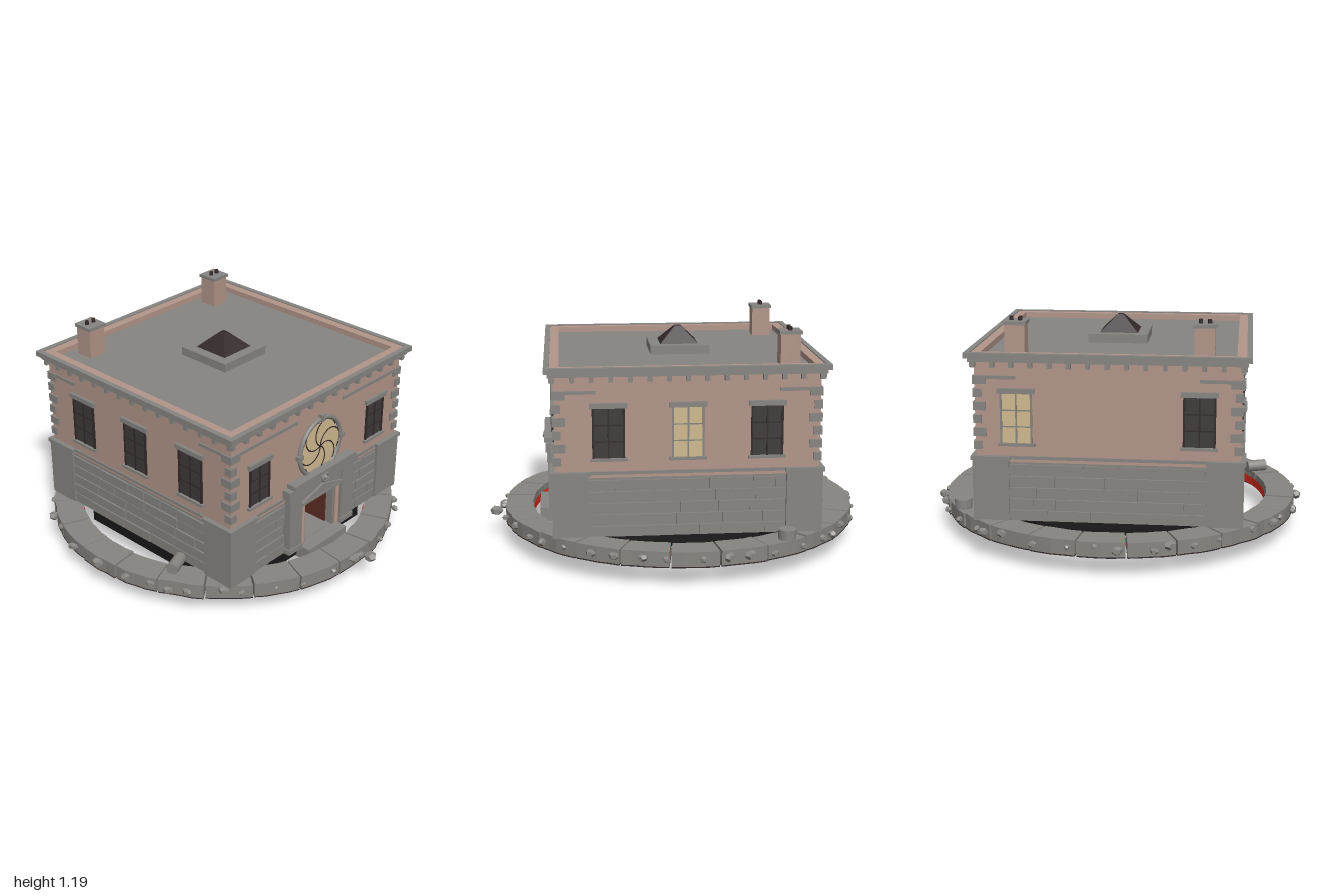
import * as THREE from 'three';

const mat = (name, color) => Object.assign(new THREE.MeshStandardMaterial({ color }), { name });

export function createModel() {
  const stone = mat('stone', 0x878580), brick = mat('brick', 0xb29589);
  const glass = mat('darkGlass', 0x3f3a3a), lit = mat('litGlass', 0xd0ba90);
  const iron = mat('darkIron', 0x33292a), glow = mat('redGlow', 0xf03020);
  const blue = mat('blueCrystal', 0x4f8ba6), black = mat('blackFloor', 0x191818);
  const oxide = mat('darkRedDoor', 0x5e2c26);

  let seed = 7;
  const rnd = (a = 0, b = 1) => {
    seed = (seed * 16807) % 2147483647;
    return a + (b - a) * (seed / 2147483647);
  };
  const add = (parent, name, geo, m, x = 0, y = 0, z = 0) => {
    const mesh = new THREE.Mesh(geo, m);
    mesh.name = name;
    mesh.position.set(x, y, z);
    parent.add(mesh);
    return mesh;
  };
  // box given by its limits
  const box = (p, name, m, x0, x1, y0, y1, z0, z1) =>
    add(p, name, new THREE.BoxGeometry(x1 - x0, y1 - y0, z1 - z0), m, (x0 + x1) / 2, (y0 + y1) / 2, (z0 + z1) / 2);
  const group = (parent, name) => {
    const g = new THREE.Group();
    g.name = name;
    parent.add(g);
    return g;
  };
  const flatExtrude = (shape, depth) =>
    new THREE.ExtrudeGeometry(shape, { depth, bevelEnabled: false, curveSegments: 24 }).rotateX(-Math.PI / 2);
  const square = (C, r) => new C([[-r, -r], [r, -r], [r, r], [-r, r]].map(([x, y]) => new THREE.Vector2(x, y)));
  // square frame running round the building
  const frame = (p, name, m, outer, inner, y0, y1) => {
    const s = square(THREE.Shape, outer);
    s.holes.push(square(THREE.Path, inner));
    return add(p, name, flatExtrude(s, y1 - y0), m, 0, y0, 0);
  };

  const model = new THREE.Group();
  model.name = 'house';
  const house = group(model, 'building');
  house.position.z = -0.01;

  // wall cores, leaving a doorway niche in the front
  const W = 0.655;
  box(house, 'upperWalls', brick, -W, W, 0.475, 0.99, -W, W);
  for (const s of [-1, 1]) box(house, 'lowerWall', stone, s < 0 ? -W : 0.115, s < 0 ? -0.115 : W, 0.172, 0.475, -W, W);
  box(house, 'lowerWallBack', stone, -0.115, 0.115, 0.172, 0.475, -W, 0.3);

  // roof, cornice and parapet
  box(house, 'roof', stone, -0.63, 0.63, 0.985, 0.995, -0.63, 0.63);
  frame(house, 'parapet', brick, 0.675, 0.625, 0.99, 1.025);
  frame(house, 'corniceTop', stone, 0.7, 0.672, 1.003, 1.03);
  frame(house, 'corniceMoulding', stone, 0.682, 0.65, 0.983, 1.004);
  frame(house, 'stringCourse', stone, 0.662, 0.65, 0.492, 0.508);

  // window with frame, glazing bars, lintel and sill
  const windowAt = (p, x, y0, y1, w, isLit) => {
    const g = group(p, 'window'), h = w / 2, bar = isLit ? stone : iron;
    box(g, 'pane', isLit ? lit : glass, x - h, x + h, y0, y1, W, W + 0.004);
    for (const s of [-1, 1]) {
      const c = x + s * (h - 0.005);
      box(g, 'windowSide', bar, c - 0.005, c + 0.005, y0, y1, W, W + 0.009);
    }
    box(g, 'centreBar', bar, x - 0.004, x + 0.004, y0, y1, W, W + 0.008);
    for (const t of [0.33, 0.66]) {
      const y = y0 + (y1 - y0) * t;
      box(g, 'crossBar', bar, x - h, x + h, y - 0.003, y + 0.003, W, W + 0.007);
    }
    box(g, 'lintel', stone, x - h - 0.012, x + h + 0.012, y1, y1 + 0.026, W, W + 0.016);
    box(g, 'sill', stone, x - h - 0.012, x + h + 0.012, y0 - 0.014, y0, W, W + 0.018);
  };

  // the four sides, each with its local +z pointing outwards
  const layouts = [
    [[-0.455, 0], [0.455, 0]],
    [[-0.39, 0], [0, 1], [0.39, 0]],
    [[-0.45, 1], [0.45, 0]],
    [[-0.39, 0], [0, 0], [0.39, 0]],
  ];
  layouts.forEach((list, i) => {
    const side = group(house, ['frontWall', 'leftWall', 'backWall', 'rightWall'][i]);
    side.rotation.y = i * Math.PI / 2;
    for (const [x, on] of list) windowAt(side, x, 0.575, i ? 0.825 : 0.787, i ? 0.16 : 0.145, on);
    // dentils
    for (let k = -7; k <= 7; k++) box(side, 'dentil', stone, k * 0.094 - 0.011, k * 0.094 + 0.011, 0.955, 0.985, W, W + 0.022);
    // upper band, broken in the middle
    const inner = i ? 0.45 : 0.18;
    for (const s of [-1, 1]) {
      const c = s * (inner + W) / 2, h = (W - inner) / 2;
      box(side, 'upperBand', stone, c - h, c + h, 0.895, 0.912, W, W + 0.006);
    }
    // coursed masonry
    for (let r = 0; r < 5; r++) {
      const y = 0.175 + r * 0.059;
      for (let x = -0.49; x < 0.485;) {
        let e = Math.min(x + rnd(0.11, 0.25), 0.49);
        if (0.49 - e < 0.05) e = 0.49;
        const a = x;
        x = e;
        if (i === 0 && a < 0.25 && e > -0.25) {
          if (a < -0.26) e = -0.26; else if (e > 0.26) {
            box(side, 'stoneBlock', stone, 0.26, e - 0.006, y, y + 0.053, W - 0.01, W + rnd(0.006, 0.011));
            continue;
          } else continue;
        }
        box(side, 'stoneBlock', stone, a, e - 0.006, y, y + 0.053, W - 0.01, W + rnd(0.006, 0.011));
      }
    }
    // corner pier and quoins at the right-hand end of this side
    const piers = group(side, 'corner');
    box(piers, 'cornerPier', stone, 0.49, 0.672, 0.173, 0.49, 0.49, 0.672);
    box(piers, 'pierCap', stone, 0.482, 0.68, 0.488, 0.508, 0.482, 0.68);
    for (let k = 0; k < 6; k++) {
      const l = k % 2 ? 0.6 : 0.622;
      box(piers, 'quoin', stone, l, 0.664, 0.54 + k * 0.066, 0.582 + k * 0.066, l, 0.664);
    }
    // pier at the other end of the face
    box(side, 'pierFace', stone, -0.672, -0.49, 0.173, 0.49, 0.6, 0.671);
    box(side, 'pierFaceCap', stone, -0.679, -0.482, 0.488, 0.507, 0.6, 0.679);
  });

  // round window with swirling tracery
  const rose = group(house, 'roseWindow');
  rose.position.set(0, 0.7, W);
  add(rose, 'roseGlass', new THREE.CylinderGeometry(0.155, 0.155, 0.008, 40).rotateX(Math.PI / 2), lit, 0, 0, 0.003);
  add(rose, 'roseRing', new THREE.TorusGeometry(0.158, 0.013, 8, 40), stone, 0, 0, 0.006);
  for (let k = 0; k < 6; k++) {
    const a = k * Math.PI / 3;
    const arc = add(rose, 'tracery', new THREE.TorusGeometry(0.076, 0.0035, 4, 20, Math.PI * 1.25), iron,
      Math.cos(a) * 0.076, Math.sin(a) * 0.076, 0.008);
    arc.rotation.z = a - Math.PI * 0.25;
  }
  for (let k = 0; k < 4; k++) {
    const key = box(rose, 'keystone', stone, -0.012, 0.012, 0.145, 0.182, 0, 0.024);
    const a = k * Math.PI / 2;
    key.position.set(-Math.sin(a) * 0.165, Math.cos(a) * 0.165, 0.012);
    key.rotation.z = a;
  }

  // entrance portal
  const portal = group(house, 'portal');
  for (const s of [-1, 1]) {
    const span = (name, m, a, b, ...r) => box(portal, name, m, s < 0 ? -b : a, s < 0 ? -a : b, ...r);
    span('portalPier', stone, 0.16, 0.255, 0.173, 0.51, W - 0.01, 0.692);
    span('portalPierBase', stone, 0.155, 0.262, 0.173, 0.2, W - 0.01, 0.698);
    span('doorJamb', stone, 0.115, 0.16, 0.173, 0.42, W - 0.03, 0.668);
    span('nicheLining', oxide, 0.108, 0.1155, 0.176, 0.42, 0.3, W - 0.03);
    add(portal, 'doorColumn', new THREE.CylinderGeometry(0.012, 0.014, 0.24, 12), brick, s * 0.138, 0.296, 0.676);
    span('redLight', glow, 0.06, 0.066, 0.27, 0.4, 0.41, 0.414);
  }
  box(portal, 'doorLintel', stone, -0.16, 0.16, 0.415, 0.51, W - 0.03, 0.682);
  box(portal, 'pedimentBase', stone, -0.165, 0.165, 0.428, 0.442, W, 0.698);
  const tri = new THREE.Shape([[-0.165, 0.442], [0.165, 0.442], [0, 0.488]].map(([x, y]) => new THREE.Vector2(x, y)));
  add(portal, 'pediment', new THREE.ExtrudeGeometry(tri, { depth: 0.04, bevelEnabled: false }), stone, 0, 0, W);
  box(portal, 'entablature', stone, -0.275, 0.275, 0.51, 0.556, W - 0.01, 0.702);
  box(portal, 'entablatureCap', stone, -0.243, 0.243, 0.556, 0.58, W - 0.01, 0.71);
  add(portal, 'boss', new THREE.TorusGeometry(0.022, 0.008, 8, 20), stone, 0, 0.535, 0.706);
  add(portal, 'bossCentre', new THREE.SphereGeometry(0.014, 12, 8), stone, 0, 0.535, 0.706);
  box(portal, 'doorstep', stone, -0.155, 0.155, 0.1, 0.174, 0.6, 0.74);
  box(portal, 'nicheFloor', stone, -0.115, 0.115, 0.17, 0.177, 0.3, 0.66);
  box(portal, 'nicheBack', iron, -0.115, 0.115, 0.176, 0.475, 0.3, 0.306);
  box(portal, 'innerDoor', glass, -0.06, 0.06, 0.177, 0.405, 0.39, 0.41);
  box(portal, 'doorRail', iron, -0.06, 0.06, 0.295, 0.305, 0.41, 0.415);
  box(portal, 'redLight', glow, -0.003, 0.003, 0.177, 0.29, 0.41, 0.415);
  const leaf = box(portal, 'openDoor', oxide, -0.006, 0.006, 0.178, 0.412, -0.06, 0.06);
  leaf.position.set(-0.095, 0.295, 0.56);
  leaf.rotation.y = 0.2;

  // skylight
  box(house, 'skylightBase', stone, -0.155, 0.155, 0.99, 1.04, -0.163, 0.147);
  add(house, 'skylight', new THREE.CylinderGeometry(0.015, 0.1, 0.085, 4, 1)
    .scale(Math.SQRT2, 1, Math.SQRT2).rotateY(Math.PI / 4).toNonIndexed(), iron, 0, 1.0825, -0.008)
    .geometry.computeVertexNormals();

  // chimneys
  for (const s of [-1, 1]) {
    const c = group(house, 'chimney');
    c.position.set(s * 0.467, 0, -0.525);
    box(c, 'chimneyStack', brick, -0.05, 0.05, 0.99, 1.155, -0.05, 0.05);
    box(c, 'chimneyCap', stone, -0.057, 0.057, 1.15, 1.167, -0.057, 0.057);
    for (const x of [-0.022, 0.022]) add(c, 'chimneyPot', new THREE.CylinderGeometry(0.01, 0.011, 0.022, 10), iron, x, 1.176, 0);
  }

  // floating ring of stone blocks
  const ring = group(model, 'stoneRing');
  ring.position.z = -0.02;
  const sector = (r0, r1, a0, a1) => {
    const s = new THREE.Shape();
    for (let k = 0; k <= 4; k++) {
      const a = a0 + (a1 - a0) * k / 4, r = r1 + rnd(-0.006, 0.004);
      s[k ? 'lineTo' : 'moveTo'](Math.cos(a) * r, Math.sin(a) * r);
    }
    for (let k = 4; k >= 0; k--) {
      const a = a0 + (a1 - a0) * k / 4, r = r0 + rnd(-0.004, 0.004);
      s.lineTo(Math.cos(a) * r, Math.sin(a) * r);
    }
    return s;
  };
  for (let k = 0; k < 24; k++) {
    const a = k * Math.PI / 12, h = Math.PI / 24 - 0.005;
    const shape = sector(0.79, 0.938, a - h, a + h);
    add(ring, 'ringBlock', flatExtrude(shape, 0.074 + rnd(-0.003, 0.003)), stone, 0, 0.101, 0);
    add(ring, 'ringUnderside', flatExtrude(shape, 0.006), iron, 0, 0.095, 0);
  }
  add(ring, 'redInnerBand', new THREE.CylinderGeometry(0.783, 0.783, 0.045, 72, 1, true).scale(-1, 1, 1), glow, 0, 0.125, 0)
    .material.side = THREE.DoubleSide;

  // loose rocks round the rim
  const rock = (x, y, z, r) => {
    const m = add(ring, 'rock', new THREE.DodecahedronGeometry(r, 0), stone, x, y, z);
    m.scale.set(1, 0.75, rnd(0.7, 1));
    m.rotation.y = rnd(0, 6);
  };
  for (let k = 0; k < 42; k++) {
    const a = (k + rnd(-0.45, 0.45)) * Math.PI / 21, R = rnd(0.935, 0.958);
    rock(Math.cos(a) * R, rnd(0.13, 0.155), Math.sin(a) * R, rnd(0.016, 0.034));
  }
  rock(0.06, 0.14, 0.985, 0.035);
  rock(-0.08, 0.14, -0.95, 0.03);

  // fallen column drums
  const drum = add(ring, 'fallenDrum', new THREE.CylinderGeometry(0.032, 0.032, 0.11, 16).rotateZ(Math.PI / 2), stone, -0.735, 0.206, 0.365);
  drum.rotation.y = 0.4;
  add(ring, 'standingDrum', new THREE.CylinderGeometry(0.045, 0.045, 0.05, 16), stone, 0.768, 0.2, -0.47);

  // floor plate, a square with its corners cut to clear the ring
  const plate = [];
  for (let k = 0; k < 8; k++) {
    const a = Math.floor((k + 1) / 2) * Math.PI / 2 + (k % 2 ? -1 : 1) * 0.5;
    plate.push(new THREE.Vector2(Math.cos(a) * 0.75, Math.sin(a) * 0.75));
  }
  add(house, 'floorPlate', flatExtrude(new THREE.Shape(plate), 0.06), black, 0, 0.112, 0);

  // hanging hub with crystals
  const hub = group(house, 'underHub');
  add(hub, 'hubRim', new THREE.CylinderGeometry(0.2, 0.2, 0.02, 24), brick, 0, 0.106, 0);
  add(hub, 'hubDisc', new THREE.CylinderGeometry(0.165, 0.13, 0.025, 8), iron, 0, 0.085, 0);
  add(hub, 'hubBowl', new THREE.CylinderGeometry(0.11, 0.03, 0.045, 8), iron, 0, 0.053, 0);
  const crystal = (x, y, z, r) => {
    add(hub, 'crystal', new THREE.OctahedronGeometry(r, 0), blue, x, y, z);
    add(hub, 'crystalSocket', new THREE.CylinderGeometry(r, r * 0.8, r * 0.7, 8), iron, x, y + r * 0.5, z);
  };
  crystal(0, 0.028, 0, 0.028);
  for (let k = 0; k < 4; k++) {
    const a = k * Math.PI / 2;
    crystal(Math.cos(a) * 0.125, 0.066, Math.sin(a) * 0.125, 0.02);
  }
  return model;
}
